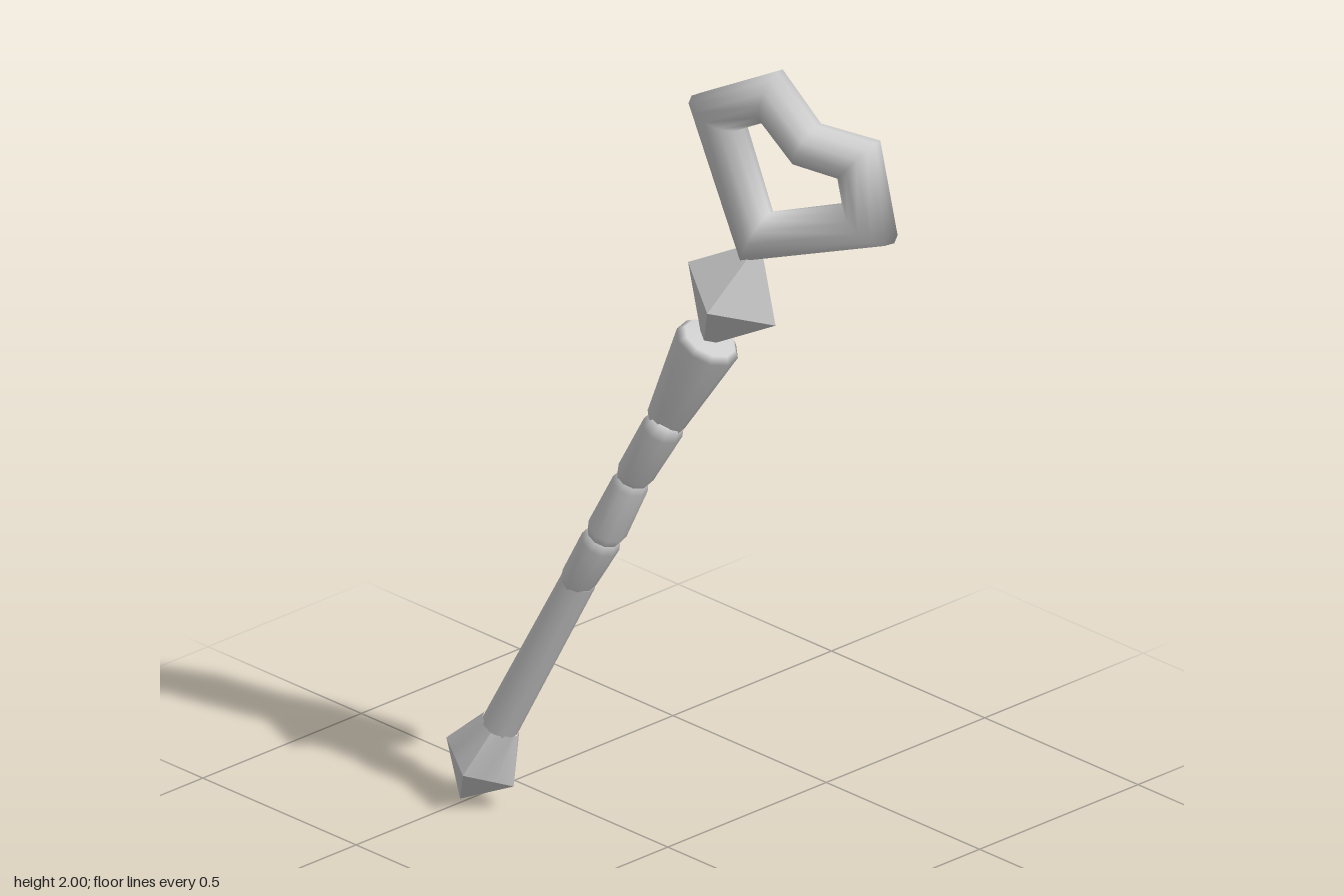
import * as THREE from 'three';

export function createModel() {
  const model = new THREE.Group();
  model.name = 'heartWand';
  const grey = new THREE.MeshStandardMaterial({ color: 0xcccccc });
  grey.name = 'light grey';

  // The wand is built upright along y from its tip, then leaned over
  const wand = new THREE.Group();
  wand.name = 'wand';
  model.add(wand);

  function add(name, geometry, y = 0, x = 0) {
    const mesh = new THREE.Mesh(geometry, grey);
    mesh.name = name;
    mesh.position.set(x, y, 0);
    wand.add(mesh);
    return mesh;
  }

  // Closed shaft piece from y0 to y1, radius r0 to r1; each end is drawn in
  // by `inset` over a length of `taper`
  function shaftPiece(name, y0, y1, r0, r1, inset, taper) {
    const h = (y1 - y0) / 2;
    const profile = [
      [0, -h], [r0 - inset, -h], [r0, -h + taper],
      [r1, h - taper], [r1 - inset, h], [0, h],
    ].map(([r, y]) => new THREE.Vector2(r, y));
    return add(name, new THREE.LatheGeometry(profile, 10), (y0 + y1) / 2);
  }

  // Mitred tube along a closed counter-clockwise outline of [x, y, depth radius]
  function mitredLoop(points, radius, sides) {
    const pos = [], index = [], n = points.length;
    const pts = points.map(([x, y]) => new THREE.Vector2(x, y));
    pts.forEach((p, i) => {
      const a = p.clone().sub(pts[(i + n - 1) % n]).normalize();
      const b = pts[(i + 1) % n].clone().sub(p).normalize();
      const na = new THREE.Vector2(a.y, -a.x);
      const out = na.clone().add(new THREE.Vector2(b.y, -b.x)).normalize();
      const stretch = radius / out.dot(na);
      for (let j = 0; j < sides; j++) {
        const t = (j / sides) * Math.PI * 2, c = Math.cos(t) * stretch;
        pos.push(p.x + out.x * c, p.y + out.y * c, Math.sin(t) * points[i][2]);
        const k = (j + 1) % sides, next = ((i + 1) % n) * sides;
        const q = i * sides;
        index.push(q + j, next + j, q + k, q + k, next + j, next + k);
      }
    });
    const g = new THREE.BufferGeometry();
    g.setAttribute('position', new THREE.Float32BufferAttribute(pos, 3));
    g.setIndex(index);
    g.computeVertexNormals();
    return g;
  }

  // Pommel: flare from the round shaft to a square rim, above a faceted tip
  const flare = new THREE.CylinderGeometry(0.044, 0.09, 0.12, 12, 1, true);
  const p = flare.attributes.position;
  for (let i = 0; i < p.count; i++) {
    if (p.getY(i) > 0) continue;
    const x = p.getX(i), z = p.getZ(i), s = 0.09 / (Math.abs(x) + Math.abs(z));
    p.setXYZ(i, x * s, p.getY(i), z * s);
  }
  flare.computeVertexNormals();
  add('pommelFlare', flare, 0.175).scale.set(1.07, 1, 0.93);
  const tip = new THREE.ConeGeometry(0.09, 0.115, 4, 1, true).rotateX(Math.PI).toNonIndexed();
  tip.computeVertexNormals();
  add('pommelTip', tip, 0.0575).scale.set(1.07, 1, 0.93);

  // Shaft
  shaftPiece('lowerShaft', 0.225, 0.69, 0.044, 0.041, 0.004, 0.004);
  shaftPiece('upperShaft', 1.175, 1.445, 0.047, 0.077, 0.014, 0.016);

  // Grip: waisted pieces that tilt slightly to and fro
  [
    ['lowerGrip', 0.655, 0.845, 0.045, 0.05, -0.04],
    ['middleGrip', 0.815, 1.02, 0.05, 0.046, 0.03],
    ['upperGrip', 0.985, 1.205, 0.047, 0.052, -0.05],
  ].forEach(([name, y0, y1, r0, r1, tilt]) => {
    const piece = shaftPiece(name, y0, y1, r0, r1, 0.012, 0.035);
    piece.scale.set(0.92, 1, 1.08);
    piece.rotation.set(-tilt, 0, tilt);
  });

  // Faceted gem
  add('gem', new THREE.OctahedronGeometry(1), 1.58, -0.005).scale.set(0.125, 0.165, 0.12);

  // Open heart ring, deeper at its lobes
  const half = [[0.219, 1.965, 0.064], [0.124, 2.09, 0.063]];
  const outline = [
    [0, 1.75, 0.052], ...half, [0, 2.04, 0.056],
    ...half.slice().reverse().map(([x, y, d]) => [-x, y, d]),
  ];
  add('heartRing', mitredLoop(outline, 0.053, 12), 0, -0.018);

  // Lean the wand to the model's left and backwards
  const up = new THREE.Vector3(0.424, 0.894, -0.135).normalize();
  const side = up.clone().cross(new THREE.Vector3(0.316, 0, 0.949)).normalize();
  const front = side.clone().cross(up);
  wand.quaternion.setFromRotationMatrix(new THREE.Matrix4().makeBasis(side, up, front));
  wand.position.set(-0.515, 0.002, 0.157);

  return model;
}
